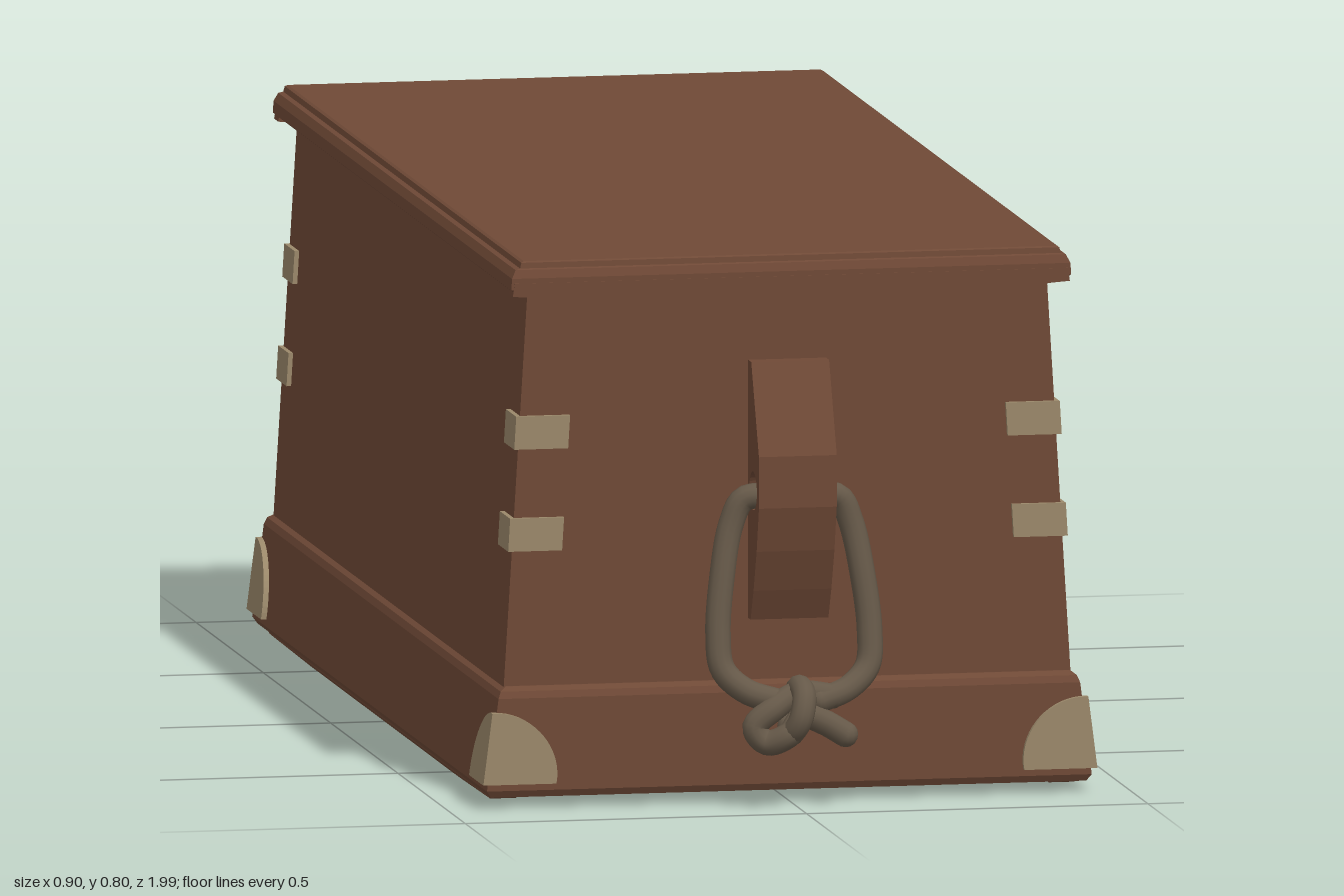
import * as THREE from 'three';

const wood = new THREE.MeshStandardMaterial({ color: 0x6f4936 });
wood.name = 'brown wood';
const brass = new THREE.MeshStandardMaterial({ color: 0x9a886a });
brass.name = 'dull brass';
const hemp = new THREE.MeshStandardMaterial({ color: 0x665949 });
hemp.name = 'rope hemp';

function add(parent, name, geometry, material) {
  const mesh = new THREE.Mesh(geometry, material);
  mesh.name = name;
  parent.add(mesh);
  return mesh;
}

// Stack of rectangular sections [halfX, halfZ, y], joined by flat faces
function rectLoft(layers) {
  const pos = [];
  const corner = ([hx, hz, y], i) => [
    [hx, y, hz], [hx, y, -hz], [-hx, y, -hz], [-hx, y, hz]][i % 4];
  for (let k = 0; k < layers.length - 1; k++) {
    for (let i = 0; i < 4; i++) {
      const a = corner(layers[k], i), b = corner(layers[k], i + 1);
      const c = corner(layers[k + 1], i + 1), d = corner(layers[k + 1], i);
      pos.push(...a, ...b, ...c, ...a, ...c, ...d);
    }
  }
  const g = new THREE.BufferGeometry();
  g.setAttribute('position', new THREE.Float32BufferAttribute(pos, 3));
  g.computeVertexNormals();
  return g;
}

const shapeOf = (pts) => new THREE.Shape(pts.map(([x, y]) => new THREE.Vector2(x, y)));
const extrude = (shape, depth) => new THREE.ExtrudeGeometry(shape, { depth, bevelEnabled: false, curveSegments: 16 });

// Lean a part inward in x as it rises
function lean(g, slope, y0) {
  const p = g.attributes.position;
  for (let i = 0; i < p.count; i++) p.setX(i, p.getX(i) - slope * (p.getY(i) - y0));
  return g;
}

// Mirrored copy of a non-indexed geometry, with its winding kept outward
function mirrored(source, sx, sz) {
  const g = source.clone();
  const p = g.attributes.position;
  for (let i = 0; i < p.count; i++) p.setXYZ(i, p.getX(i) * sx, p.getY(i), p.getZ(i) * sz);
  if (sx * sz < 0) {
    const a = new THREE.Vector3(), c = new THREE.Vector3();
    for (let i = 0; i < p.count; i += 3) {
      a.fromBufferAttribute(p, i);
      c.fromBufferAttribute(p, i + 2);
      p.setXYZ(i, c.x, c.y, c.z);
      p.setXYZ(i + 2, a.x, a.y, a.z);
    }
  }
  g.computeVertexNormals();
  return g;
}

// Smooth rope through the points, with rounded ends
function rope(parent, name, pts, radius, segments) {
  const vs = pts.map((p) => new THREE.Vector3(...p));
  const curve = new THREE.CatmullRomCurve3(vs);
  add(parent, name, new THREE.TubeGeometry(curve, segments, radius, 12), hemp);
  for (const v of [vs[0], vs[vs.length - 1]]) {
    add(parent, name + 'End', new THREE.SphereGeometry(radius, 12, 8), hemp).position.copy(v);
  }
}

function makeHandle() {
  const handle = new THREE.Group();

  // Wooden cleat with a hole for the rope
  const profile = shapeOf([[0.85, 0.265], [0.873, 0.265], [0.895, 0.31], [0.918, 0.37],
    [0.935, 0.435], [0.935, 0.51], [0.878, 0.64], [0.85, 0.64]]);
  const hole = new THREE.Path();
  hole.absarc(0.892, 0.455, 0.028, 0, Math.PI * 2, true);
  profile.holes.push(hole);
  const cleat = extrude(profile, 0.114);
  cleat.translate(0, 0, -0.057);
  cleat.rotateY(-Math.PI / 2);
  add(handle, 'handleCleat', cleat, wood);

  // Rope loop
  const side = [[0.04, 0.448, 0.889], [0.07, 0.442, 0.884], [0.088, 0.405, 0.883], [0.103, 0.33, 0.893],
    [0.111, 0.25, 0.905], [0.106, 0.2, 0.915], [0.075, 0.17, 0.928], [0.03, 0.155, 0.94]];
  const left = side.map(([x, y, z]) => [-x, y, z]).reverse();
  rope(handle, 'ropeLoop', [...left, [0, 0.452, 0.892], ...side], 0.0185, 100);

  // Knot
  rope(handle, 'knotLoop', [[0.05, 0.16, 0.935], [0.0, 0.165, 0.935], [-0.04, 0.145, 0.95],
    [-0.066, 0.12, 0.95], [-0.05, 0.098, 0.955], [-0.02, 0.11, 0.968], [0.005, 0.135, 0.955],
    [0.035, 0.125, 0.95], [0.067, 0.106, 0.95]], 0.0185, 60);
  rope(handle, 'knotWrap', [[-0.012, 0.115, 0.93], [-0.014, 0.112, 0.965], [-0.004, 0.135, 0.98],
    [0.003, 0.165, 0.968], [0.002, 0.175, 0.935], [0.002, 0.15, 0.9], [-0.012, 0.115, 0.93]], 0.0175, 48);
  return handle;
}

export function createModel() {
  const chest = new THREE.Group();
  chest.name = 'chest';

  // Tapered body
  add(chest, 'body', rectLoft([[0.416, 0.855, 0.16], [0.38, 0.855, 0.755]]), wood);

  // Skirt around the foot, with a recessed underside
  add(chest, 'baseSkirt', rectLoft([[0, 0, 0.032], [0.395, 0.835, 0.032], [0.395, 0.835, 0.016],
    [0.436, 0.866, 0.016], [0.443, 0.872, 0.026], [0.426, 0.872, 0.16], [0.422, 0.868, 0.17],
    [0.413, 0.858, 0.176], [0.4, 0.84, 0.176]]), wood);

  // Runners under the long sides
  for (const s of [-1, 1]) {
    const runner = rectLoft([[0, 0, 0], [0.012, 0.55, 0], [0.019, 0.82, 0.008],
      [0.019, 0.84, 0.022], [0, 0, 0.022]]);
    runner.translate(s * 0.409, 0, 0);
    add(chest, 'runner', runner, wood);
  }

  // Lid with a stepped, rounded edge
  add(chest, 'lid', rectLoft([[0, 0, 0.75], [0.404, 0.88, 0.75], [0.41, 0.886, 0.755], [0.409, 0.886, 0.772],
    [0.403, 0.882, 0.784], [0.396, 0.88, 0.786], [0.394, 0.879, 0.794], [0.39, 0.876, 0.796],
    [0, 0, 0.796]]), wood);

  // Wedge-shaped battens below the lid ends, and side lips
  const batten = extrude(shapeOf([[-0.405, 0.765], [-0.408, 0.746], [-0.38, 0.744], [-0.02, 0.686],
    [0.02, 0.686], [0.38, 0.744], [0.408, 0.746], [0.405, 0.765]]), 0.031);
  batten.translate(0, 0, 0.856);
  for (const s of [-1, 1]) add(chest, 'lidBatten', mirrored(batten, 1, s), wood);

  // Brass corner straps: an L-shaped strip leaning with the body
  const strap = (top, height) => {
    const g = extrude(shapeOf([[0.422, 0.862], [0.422, 0.785], [0.414, 0.785], [0.414, 0.854],
      [0.343, 0.854], [0.343, 0.862]]), height);
    g.rotateX(Math.PI / 2);
    g.translate(0, top, 0);
    return lean(g, 0.06, 0.17);
  };

  // Brass corner caps: rounded plates on both faces of the skirt
  const capShape = (edge) => {
    const s = new THREE.Shape();
    s.moveTo(edge, 0.036);
    s.lineTo(edge - 0.107, 0.036);
    s.bezierCurveTo(edge - 0.11, 0.085, edge - 0.065, 0.135, edge - 0.012, 0.14);
    s.lineTo(edge, 0.14);
    return s;
  };
  const frontCap = extrude(capShape(0.451), 0.009);
  frontCap.translate(0, 0, 0.871);
  lean(frontCap, 0.127, 0.026);
  const sideCap = extrude(capShape(0.88), 0.009);
  sideCap.rotateY(-Math.PI / 2);
  sideCap.translate(0.451, 0, 0);
  lean(sideCap, 0.127, 0.026);

  const upperStrap = strap(0.568, 0.048), lowerStrap = strap(0.42, 0.048);
  for (const sx of [-1, 1]) {
    for (const sz of [-1, 1]) {
      add(chest, 'upperCornerStrap', mirrored(upperStrap, sx, sz), brass);
      add(chest, 'lowerCornerStrap', mirrored(lowerStrap, sx, sz), brass);
      add(chest, 'cornerCapEnd', mirrored(frontCap, sx, sz), brass);
      add(chest, 'cornerCapSide', mirrored(sideCap, sx, sz), brass);
    }
  }

  // Rope handles at both ends
  const front = makeHandle();
  front.name = 'frontHandle';
  const back = makeHandle();
  back.name = 'backHandle';
  back.rotation.y = Math.PI;
  chest.add(front, back);

  return chest;
}
